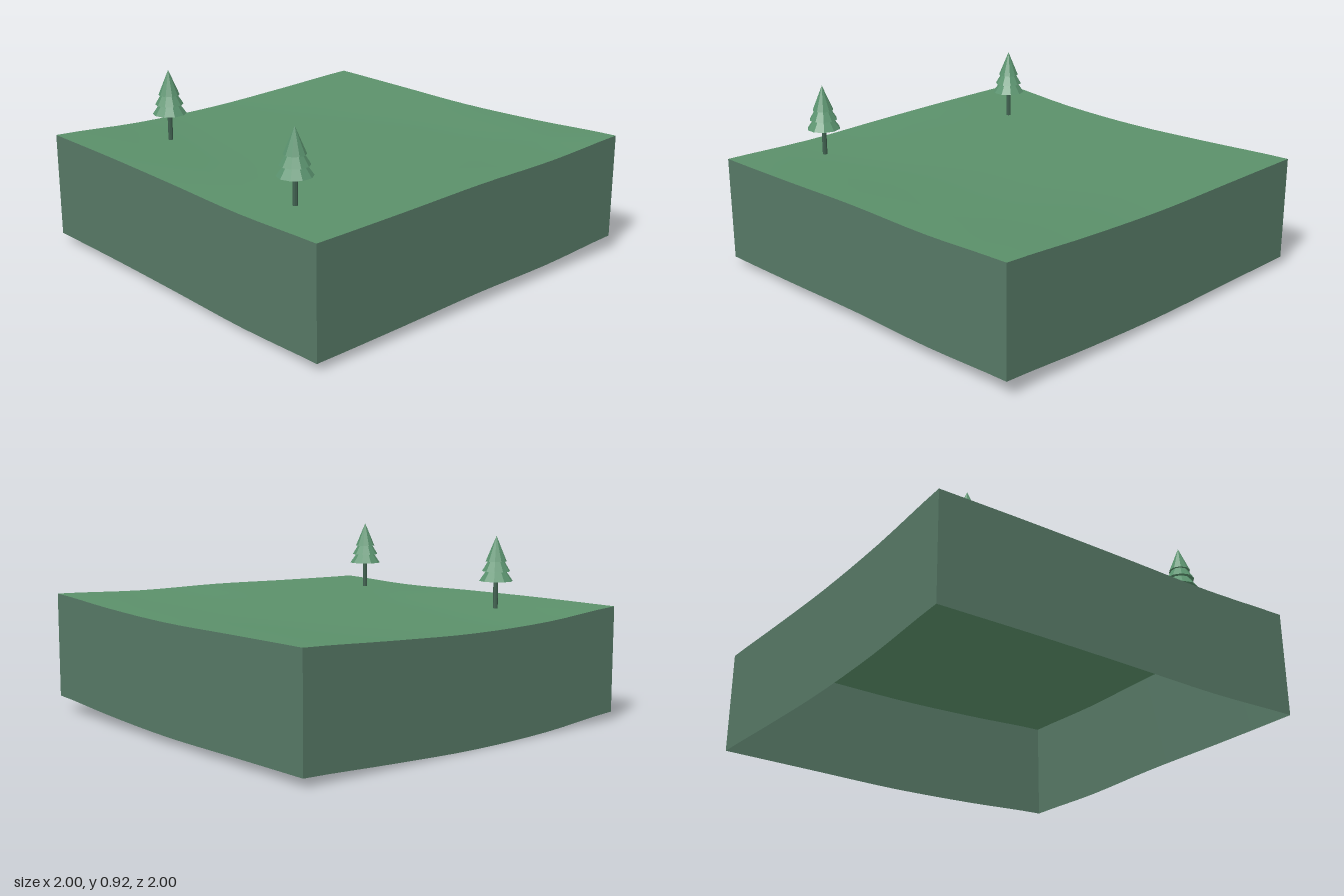
import * as THREE from 'three';

const mat = (name, color, extra = {}) => {
  const m = new THREE.MeshStandardMaterial({ color, ...extra });
  m.name = name;
  return m;
};

// Heights along each edge of the tile, evenly spaced from -1 to 1
const edge = (heights) => {
  const c = new THREE.SplineCurve(heights.map((h, i) => new THREE.Vector2(i, h)));
  return (s) => c.getPoint(s).y;
};
const front = edge([0.575, 0.575, 0.569, 0.56, 0.572]);
const back = edge([0.575, 0.572, 0.569, 0.585, 0.612]);
const left = edge([0.612, 0.592, 0.592, 0.58, 0.572]);    // x = 1
const right = edge([0.575, 0.553, 0.536, 0.543, 0.575]);  // x = -1

// Ground height blended smoothly between the four edges
function height(x, z) {
  const u = (x + 1) / 2, v = (z + 1) / 2;
  const corners = (1 - v) * ((1 - u) * back(0) + u * back(1)) + v * ((1 - u) * front(0) + u * front(1));
  return (1 - v) * back(u) + v * front(u) + (1 - u) * right(v) + u * left(v) - corners;
}

const SEG = 16, DEPTH = 0.535;

// Reshape a plane by a rule, then refresh its normals
function shaped(geo, rule) {
  const p = geo.attributes.position;
  for (let i = 0; i < p.count; i++) p.setXYZ(i, ...rule(p.getX(i), p.getY(i), p.getZ(i)));
  geo.computeVertexNormals();
  return geo;
}

export function createModel() {
  const group = new THREE.Group();
  const grass = mat('grass green', 0x5b906a, { side: THREE.DoubleSide });
  const earth = mat('wall grey green', 0x567865, { side: THREE.DoubleSide });
  const foliage = mat('foliage green', 0x5b936f, { flatShading: true });
  const bark = mat('trunk dark green', 0x40604f, { flatShading: true });

  const add = (parent, name, geo, material, y = 0) => {
    const m = new THREE.Mesh(geo, material);
    m.name = name;
    m.position.y = y;
    parent.add(m);
  };

  // Rolling ground
  const ground = new THREE.PlaneGeometry(2, 2, SEG, SEG).rotateX(-Math.PI / 2);
  add(group, 'ground', shaped(ground, (x, y, z) => [x, height(x, z), z]), grass);

  // Four walls that follow the ground edge, open underneath
  const sides = {
    frontWall: (u) => [u, 1],
    leftWall: (u) => [1, -u],
    backWall: (u) => [-u, -1],
    rightWall: (u) => [-1, u],
  };
  for (const [name, place] of Object.entries(sides)) {
    const wall = shaped(new THREE.PlaneGeometry(2, 1, SEG, 1), (u, v) => {
      const [x, z] = place(u);
      return [x, height(x, z) - (v < 0 ? DEPTH : 0), z];
    });
    add(group, name, wall, earth);
  }

  // Trees: trunk and three stacked cones [radius, base, apex]
  const tiers = [[0.085, 0.698, 0.82], [0.071, 0.747, 0.865], [0.053, 0.796, 0.923]];
  for (const [x, z] of [[-0.585, 0.583], [0.58, 0.75]]) {
    const tree = new THREE.Group();
    tree.name = 'tree';
    tree.position.set(x, 0, z);
    add(tree, 'trunk', new THREE.CylinderGeometry(0.012, 0.012, 0.16, 8), bark, 0.64);
    for (const [r, y0, y1] of tiers)
      add(tree, 'foliageTier', new THREE.ConeGeometry(r, y1 - y0, 10), foliage, (y0 + y1) / 2);
    group.add(tree);
  }
  return group;
}
